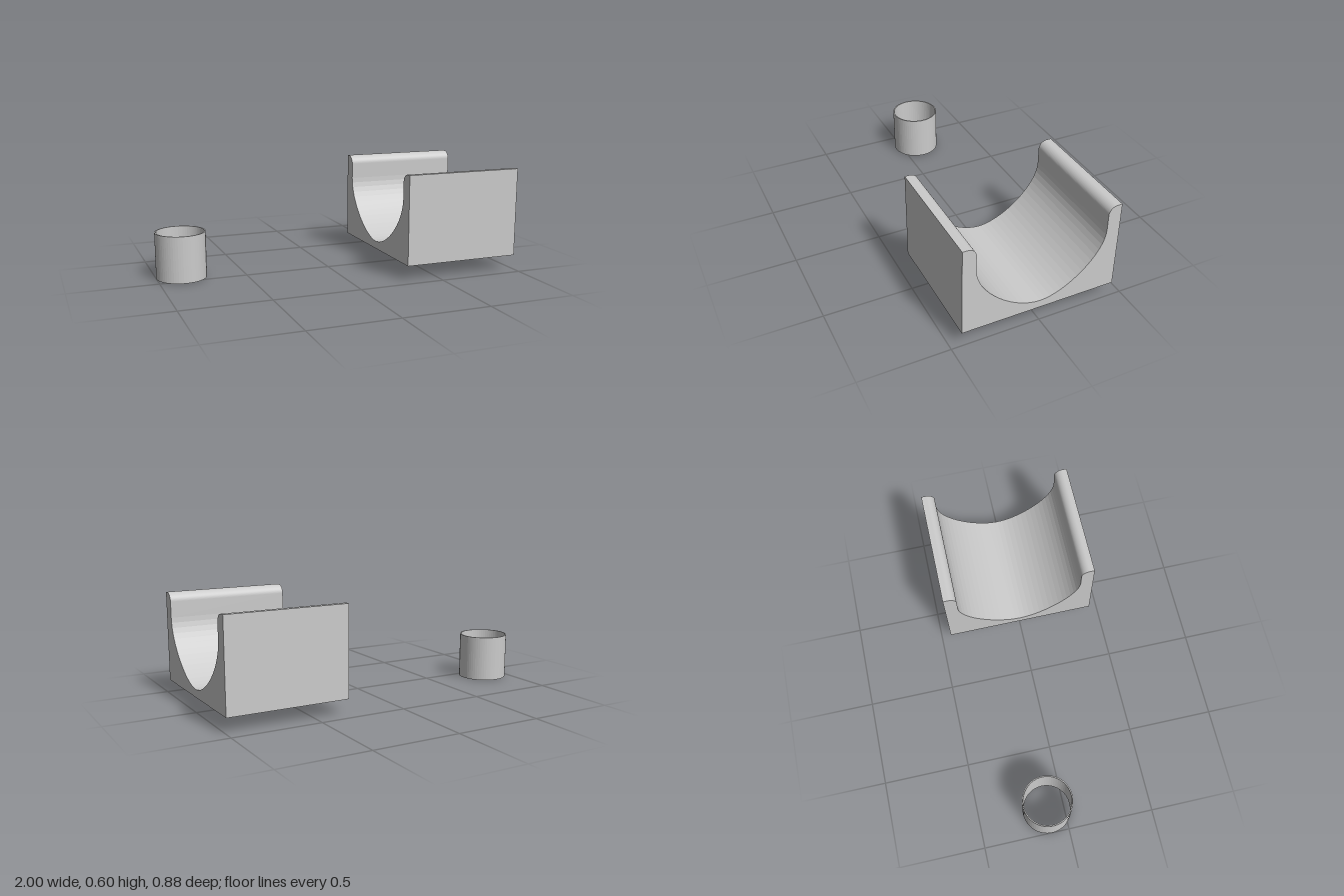
import * as THREE from 'three';

export function createModel() {
  const group = new THREE.Group();
  const material = new THREE.MeshStandardMaterial({ color: 0xcccccc });
  const add = (name, geometry) => {
    const mesh = new THREE.Mesh(geometry, material);
    mesh.name = name;
    group.add(mesh);
    return mesh;
  };

  // Cradle: a block with a rounded trough, drawn in section and extruded along x
  const half = 0.442, wall = 0.367, base = 0.085, top = 0.598;
  const lip = 0.048, spring = 0.46, floor = 0.13;
  const section = new THREE.Shape();
  section.moveTo(-half, base);
  section.lineTo(half, base);
  section.lineTo(half, top);
  section.lineTo(wall + lip, top);
  section.absarc(wall + lip, top - lip, lip, Math.PI / 2, Math.PI, false);
  section.lineTo(wall, spring);
  section.bezierCurveTo(wall, 0.31, 0.152, floor, 0, floor);
  section.bezierCurveTo(-0.152, floor, -wall, 0.31, -wall, spring);
  section.lineTo(-wall, top - lip);
  section.absarc(-wall - lip, top - lip, lip, 0, Math.PI / 2, false);
  section.lineTo(-half, top);
  section.closePath();
  const cradle = new THREE.ExtrudeGeometry(section, { depth: 0.692, bevelEnabled: false, curveSegments: 16 });
  cradle.rotateY(Math.PI / 2);
  add('cradle', cradle).position.x = 0.308;

  // Sleeve: a thin-walled tube, open at both ends
  const ring = new THREE.Shape().absarc(0, 0, 0.143, 0, Math.PI * 2, false);
  ring.holes.push(new THREE.Path().absarc(0, 0, 0.136, 0, Math.PI * 2, true));
  const sleeve = new THREE.ExtrudeGeometry(ring, { depth: 0.267, bevelEnabled: false, curveSegments: 32 });
  sleeve.rotateX(-Math.PI / 2);
  add('sleeve', sleeve).position.set(-0.857, 0, -0.1);

  return group;
}
